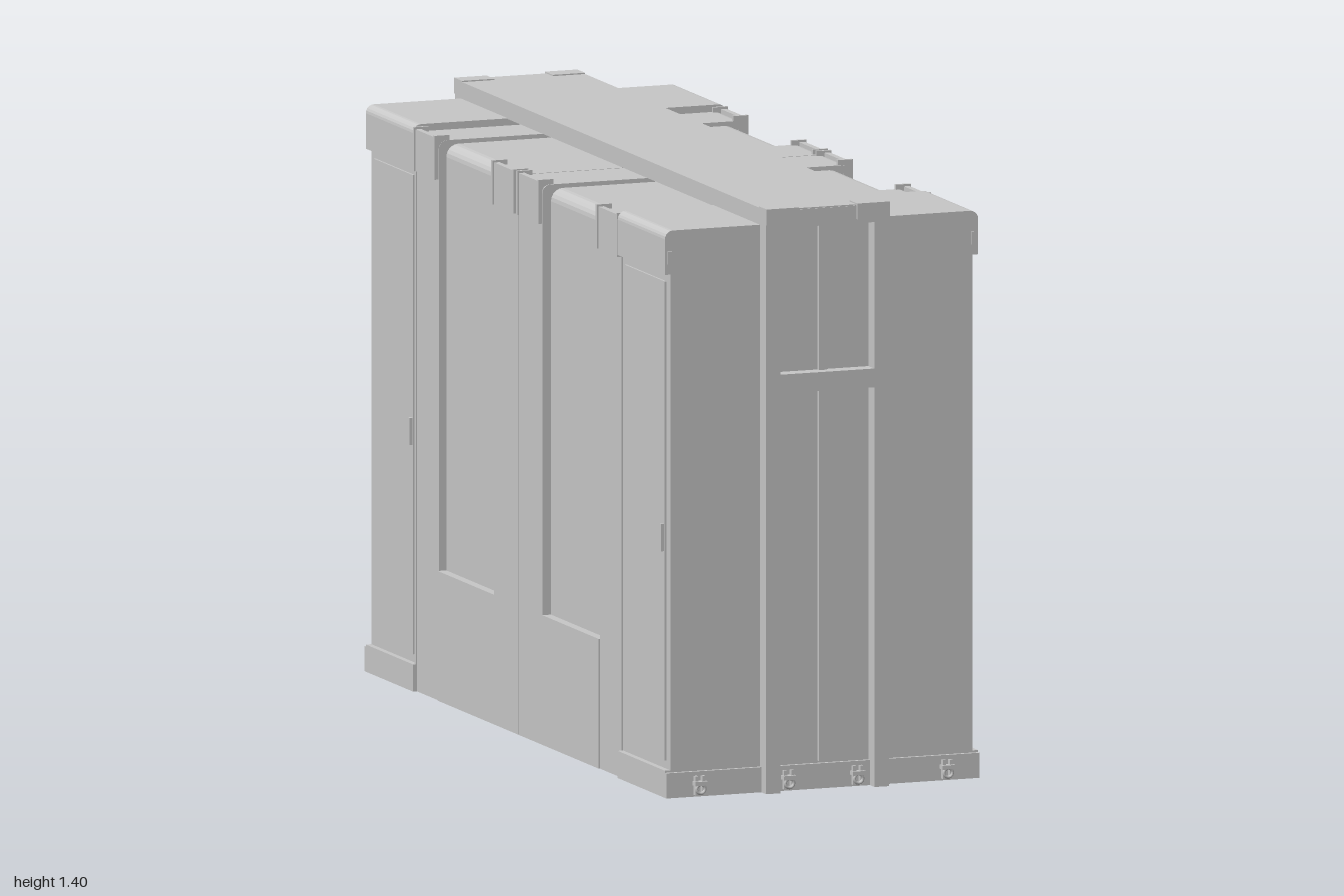
import * as THREE from 'three';

const grey = new THREE.MeshStandardMaterial({ color: 0xc8c8c8 });
grey.name = 'light grey';

function add(parent, name, geo) {
  const m = new THREE.Mesh(geo, grey);
  m.name = name;
  parent.add(m);
  return m;
}

// Box from its minimum and maximum on each axis
function box(parent, name, x0, x1, y0, y1, z0, z1) {
  const g = new THREE.BoxGeometry(x1 - x0, y1 - y0, z1 - z0);
  g.translate((x0 + x1) / 2, (y0 + y1) / 2, (z0 + z1) / 2);
  return add(parent, name, g);
}

// Half outline (from bottom to roof) mirrored in x and extruded along z
function section(parent, name, half, z0, z1) {
  const pts = half.map(([x, y]) => new THREE.Vector2(x, y));
  const other = half.map(([x, y]) => new THREE.Vector2(-x, y)).reverse();
  const g = new THREE.ExtrudeGeometry(new THREE.Shape([...pts, ...other]), { depth: z1 - z0, bevelEnabled: false });
  g.translate(0, 0, z0);
  return add(parent, name, g);
}

// Rounded roof corner
function corner(w, top, r) {
  const out = [];
  for (let i = 0; i <= 5; i++) {
    const a = (i / 5) * Math.PI / 2;
    out.push([w - r + r * Math.cos(a), top - r + r * Math.sin(a)]);
  }
  return out;
}

// Open-bottomed shell: outer half outline plus an inner cavity
function shell(parent, name, lower, w, top, r, z0, z1) {
  const outer = [...lower, ...corner(w, top, r)];
  const s = new THREE.Shape();
  const inner = [[w - 0.015, 0], [w - 0.015, top - 0.02]];
  const mirror = list => list.map(([x, y]) => [-x, y]).reverse();
  const loop = [...outer, ...mirror(outer), ...inner.map(([x, y]) => [-x, y]), ...mirror(inner.map(([x, y]) => [-x, y]))];
  s.setFromPoints(loop.map(([x, y]) => new THREE.Vector2(x, y)));
  const g = new THREE.ExtrudeGeometry(s, { depth: z1 - z0, bevelEnabled: false });
  g.translate(0, 0, z0);
  return add(parent, name, g);
}

// Flat plate drawn in the side plane (points are z, y), facing +x
function sidePlate(parent, name, pts, x0, x1) {
  const s = new THREE.Shape(pts.map(([z, y]) => new THREE.Vector2(-z, y)));
  const g = new THREE.ExtrudeGeometry(s, { depth: x1 - x0, bevelEnabled: false });
  g.rotateY(Math.PI / 2);
  g.translate(x0, 0, 0);
  return add(parent, name, g);
}

// Side door with raised panel and pull handle
function sideDoor(parent, z0, z1) {
  const door = new THREE.Group();
  door.name = 'sideDoor';
  box(door, 'doorPanel', 0.38, 0.388, 0.085, 1.23, z0 + 0.018, z1 - 0.018);
  box(door, 'doorHandle', 0.386, 0.396, 0.585, 0.65, z0 + 0.02, z0 + 0.03);
  parent.add(door);
}

// Latch on the end skirt
function latch(parent, x) {
  const g = new THREE.Group();
  g.name = 'latch';
  for (const s of [-1, 1]) box(g, 'latchPin', x + s * 0.009 - 0.004, x + s * 0.009 + 0.004, 0.005, 0.05, 0.96, 0.978);
  const ring = add(g, 'latchRing', new THREE.TorusGeometry(0.011, 0.004, 6, 12));
  ring.position.set(x, 0.02, 0.98);
  box(g, 'latchBar', x - 0.016, x + 0.016, 0.028, 0.038, 0.96, 0.985);
  parent.add(g);
}

// One half: the +z end, and the details of the whole +x side
function makeHalf() {
  const half = new THREE.Group();
  half.name = 'half';

  // End cabinet with overhanging cap
  section(half, 'endCabinet', [
    [0.397, 0.05], [0.397, 0.065], [0.383, 0.065], [0.383, 1.25], [0.397, 1.25], ...corner(0.397, 1.355, 0.02),
  ], 0.655, 0.957);
  for (const s of [-1, 1]) {
    box(half, 'sideSkirt', Math.min(s * 0.397, s * 0.385), Math.max(s * 0.397, s * 0.385), 0, 0.05, 0.655, 0.957);
    box(half, 'capSlot', s * 0.385 - 0.006, s * 0.385 + 0.006, 1.275, 1.305, 0.955, 0.961);
  }
  box(half, 'endSkirt', -0.397, 0.397, 0, 0.06, 0.95, 0.966);
  box(half, 'cabinetJamb', 0.38, 0.39, 0.065, 1.25, 0.655, 0.664);

  // Middle bay, recessed above a ledge, and the two narrow columns
  shell(half, 'middleBay', [[0.39, 0], [0.39, 0.31], [0.368, 0.31]], 0.368, 1.328, 0.03, 0.155, 0.515);
  shell(half, 'outerColumn', [[0.387, 0]], 0.387, 1.338, 0.02, 0.515, 0.655);
  shell(half, 'innerColumn', [[0.39, 0]], 0.39, 1.338, 0.02, 0.002, 0.155);

  // Inner partitions
  for (const z of [0.655, 0.515, 0.155, 0.005]) box(half, 'partition', -0.36, 0.36, 0, 1.315, z - 0.005, z + 0.005);

  // Side details
  sideDoor(half, 0.66, 0.95);
  sideDoor(half, -0.95, -0.66);
  for (const z of [0.155, -0.515]) {
    sidePlate(half, 'bayHandle', [[z, 0.39], [z + 0.03, 0.42], [z + 0.03, 0.57], [z, 0.6]], 0.364, 0.376);
  }
  for (const [z0, z1] of [[0.52, 0.65], [0.012, 0.148], [-0.148, -0.012], [-0.65, -0.52]]) {
    const clip = new THREE.Group();
    clip.name = 'roofClip';
    box(clip, 'clipPlate', 0.38, 0.394, 1.245, 1.345, z0, z1);
    for (const z of [z0, z1]) box(clip, 'clipRib', 0.36, 0.398, 1.245, 1.35, z - 0.004, z + 0.004);
    half.add(clip);
  }

  // End frame
  const frame = new THREE.Group();
  frame.name = 'endFrame';
  for (const s of [-1, 1]) {
    box(frame, 'post', s * 0.1375 - 0.0185, s * 0.1375 + 0.0185, 0, 1.36, 0.95, 0.996);
    box(frame, 'beamCorner', s * 0.115 - 0.041, s * 0.115 + 0.041, 1.36, 1.398, 0.95, 1);
  }
  box(frame, 'topRail', -0.12, 0.12, 1.35, 1.392, 0.95, 0.994);
  box(frame, 'crossRail', -0.12, 0.12, 0.955, 1.0, 0.95, 0.994);
  box(frame, 'stile', -0.01, 0.01, 0.065, 1.35, 0.95, 0.967);
  half.add(frame);

  for (const x of [-0.315, -0.09, 0.085, 0.312]) latch(half, x);
  return half;
}

export function createModel() {
  const model = new THREE.Group();
  model.name = 'cabinet';
  const front = makeHalf();
  front.name = 'frontHalf';
  const back = makeHalf();
  back.name = 'backHalf';
  back.rotation.y = Math.PI;
  model.add(front, back);

  // Roof beam along the whole length
  box(model, 'roofBeam', -0.156, 0.156, 1.353, 1.395, -0.992, 0.992);
  return model;
}
